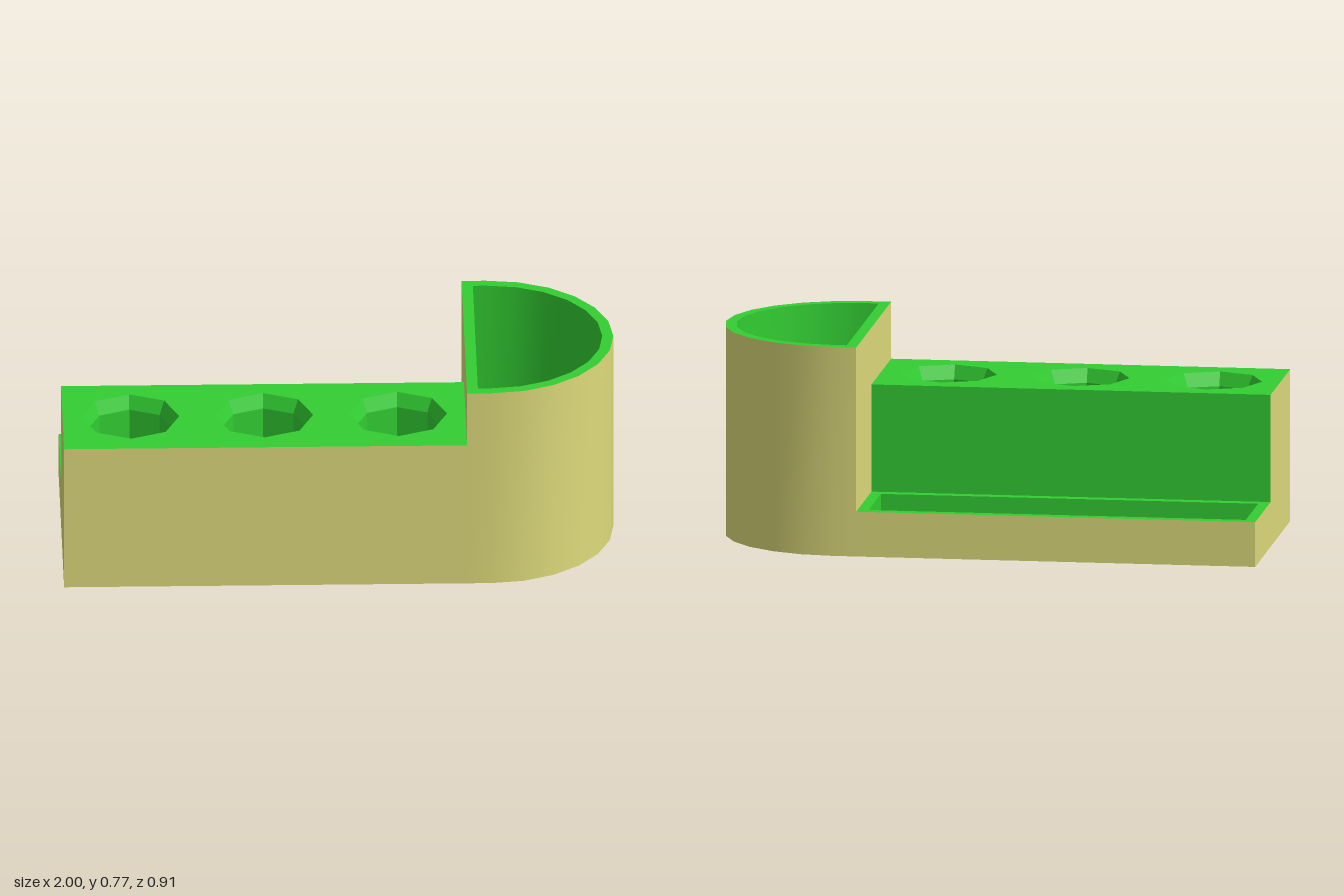
import * as THREE from 'three';
import { toCreasedNormals, mergeGeometries } from 'three/addons/utils/BufferGeometryUtils.js';

const FRONT = 0.453, LEFT = -1, POT_X = 0.46, STEP_Z = -0.055, WALL = 0.04;
const TRAY_Y = 0.165, BLOCK_Y = 0.56, POT_Y = 0.77, FLOOR_Y = 0.05;

// Ruled wall between two plan outlines [x, z]; counterclockwise from above faces outward
function wall(low, y0, y1, closed = false, high = low) {
  const pos = [];
  const n = closed ? low.length : low.length - 1;
  for (let i = 0; i < n; i++) {
    const j = (i + 1) % low.length;
    const a = [low[i][0], y0, low[i][1]], b = [low[j][0], y0, low[j][1]];
    const c = [high[j][0], y1, high[j][1]], d = [high[i][0], y1, high[i][1]];
    pos.push(...a, ...b, ...c, ...a, ...c, ...d);
  }
  const g = new THREE.BufferGeometry();
  g.setAttribute('position', new THREE.Float32BufferAttribute(pos, 3));
  return toCreasedNormals(g, 0.5);
}

// Horizontal face with optional holes
function face(outline, y, holes = [], down = false) {
  const s = down ? 1 : -1;
  const vec = (pts) => pts.map(([x, z]) => new THREE.Vector2(x, s * z));
  const shape = new THREE.Shape(vec(outline));
  shape.holes = holes.map((h) => new THREE.Path(vec(h)));
  const g = new THREE.ShapeGeometry(shape).rotateX(s * Math.PI / 2).translate(0, y, 0).toNonIndexed();
  g.deleteAttribute('uv');
  return g;
}

const rect = (x0, x1, z0, z1) => [[x0, z1], [x1, z1], [x1, z0], [x0, z0]];
const flip = (pts) => [...pts].reverse();

// Half-round plan of the pot, from front corner round to back corner
function halfRound(x0, r) {
  const pts = [[x0, r]];
  for (let i = 0; i <= 12; i++) {
    const a = Math.PI / 2 - (i * Math.PI) / 12;
    pts.push([1 - FRONT + r * Math.cos(a), r * Math.sin(a)]);
  }
  pts.push([x0, -r]);
  return pts;
}

function octagon(cx, cz, r) {
  return Array.from({ length: 8 }, (_, i) => {
    const a = (-i * Math.PI) / 4;
    return [cx + r * Math.cos(a), cz + r * Math.sin(a)];
  });
}

export function createModel() {
  const model = new THREE.Group();
  const shell = new THREE.MeshStandardMaterial({ color: 0xdedb7b });
  shell.name = 'pale olive';
  const green = new THREE.MeshStandardMaterial({ color: 0x32cd32 });
  green.name = 'bright green';
  const add = (name, material, ...geos) => {
    const mesh = new THREE.Mesh(mergeGeometries(geos), material);
    mesh.name = name;
    model.add(mesh);
  };

  // Underside
  const pot = halfRound(POT_X, FRONT);
  add('underside', shell, face([[LEFT, FRONT], ...pot, [LEFT, -FRONT]], 0, [], true));

  // Tall front block with three holders
  add('blockWalls', shell,
    wall([[LEFT, STEP_Z], [LEFT, FRONT]], 0, BLOCK_Y),
    wall([[LEFT, FRONT], [POT_X, FRONT]], 0, BLOCK_Y));
  add('blockBack', green, wall([[POT_X, STEP_Z], [LEFT, STEP_Z]], TRAY_Y, BLOCK_Y));
  const centres = [-0.755, -0.27, 0.215], holeZ = 0.195;
  const rims = centres.map((x) => octagon(x, holeZ, 0.178));
  add('blockTop', green, face(rect(LEFT, POT_X, STEP_Z, FRONT), BLOCK_Y, rims));
  centres.forEach((x, i) => {
    const bore = octagon(x, holeZ, 0.154);
    add('holder' + (i + 1), green,
      wall(flip(bore), BLOCK_Y - 0.05, BLOCK_Y, true, flip(rims[i])),
      wall(flip(bore), FLOOR_Y, BLOCK_Y - 0.05, true),
      face(bore, FLOOR_Y));
  });

  // Low tray at the back
  add('trayWalls', shell,
    wall([[POT_X, -FRONT], [LEFT, -FRONT], [LEFT, STEP_Z]], 0, TRAY_Y));
  const pocket = rect(LEFT + WALL, POT_X - WALL, -FRONT + WALL, STEP_Z - WALL);
  add('trayRim', green, face(rect(LEFT, POT_X, -FRONT, STEP_Z), TRAY_Y, [pocket]));
  add('trayPocket', green, wall(flip(pocket), FLOOR_Y, TRAY_Y, true), face(pocket, FLOOR_Y));

  // Half-round pot at the end
  add('potWalls', shell,
    wall(pot, 0, POT_Y),
    wall([[POT_X, -FRONT], [POT_X, STEP_Z]], TRAY_Y, POT_Y),
    wall([[POT_X, STEP_Z], [POT_X, FRONT]], BLOCK_Y, POT_Y));
  const inner = halfRound(POT_X + WALL, FRONT - WALL);
  add('potRim', green, face(pot, POT_Y, [inner]));
  add('potInside', green, wall(flip(inner), FLOOR_Y, POT_Y, true), face(inner, FLOOR_Y));

  return model;
}
